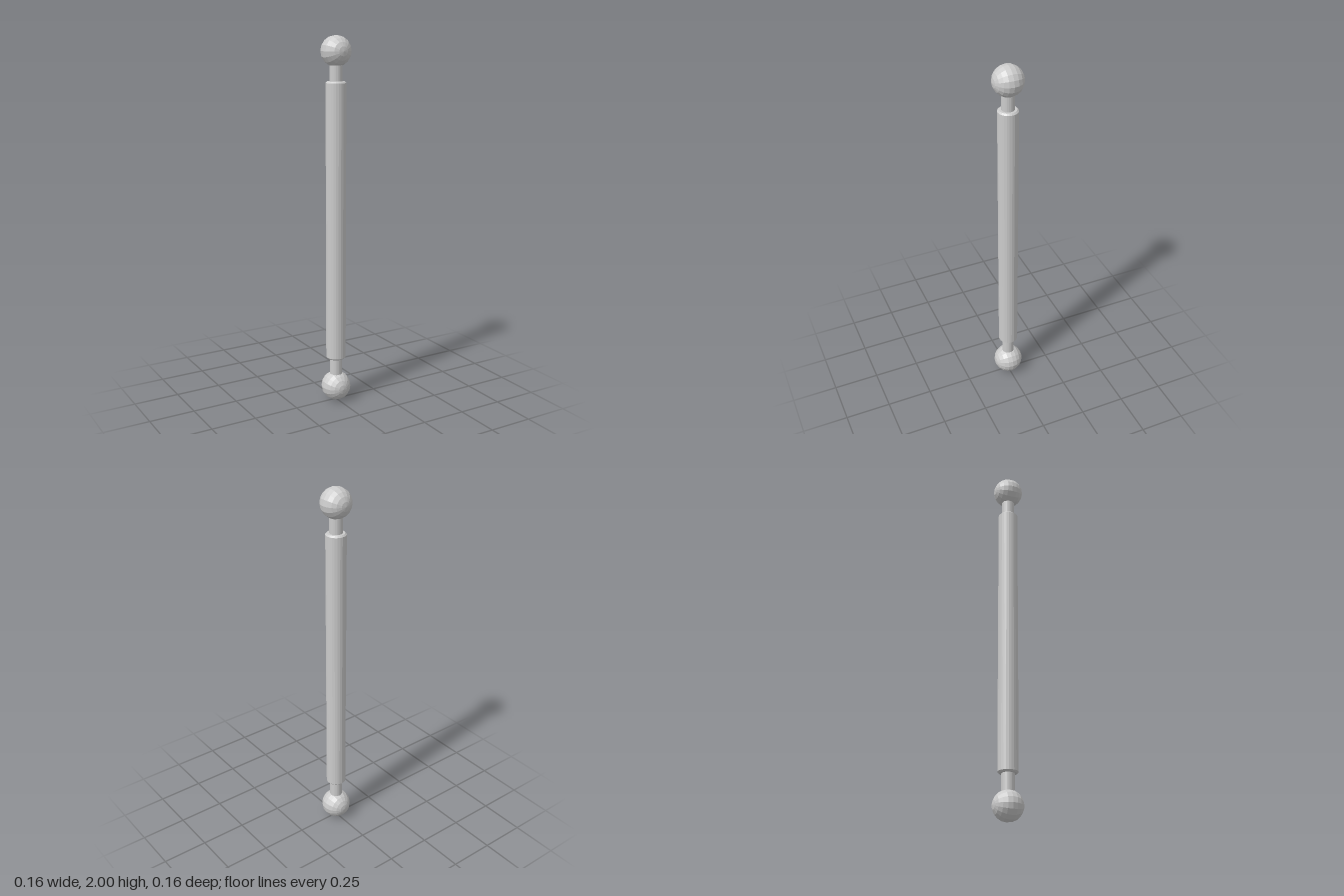
import * as THREE from 'three';

export function createModel() {
  const group = new THREE.Group();
  const material = new THREE.MeshStandardMaterial({ color: 0xcccccc, flatShading: true });

  const add = (name, geometry, y) => {
    const mesh = new THREE.Mesh(geometry, material);
    mesh.name = name;
    mesh.position.y = y;
    group.add(mesh);
  };

  // Thin core running between the two end balls
  add('coreRod', new THREE.CylinderGeometry(0.034, 0.034, 1.84, 24), 1);

  // Thick sleeve with small chamfers at both ends
  const half = 0.76, radius = 0.054, bevel = 0.008;
  const profile = [
    [0, -half], [radius - bevel, -half], [radius, -half + bevel],
    [radius, half - bevel], [radius - bevel, half], [0, half],
  ].map(([x, y]) => new THREE.Vector2(x, y));
  add('sleeve', new THREE.LatheGeometry(profile, 24), 1.005);

  // Faceted end balls, poles facing front and back
  const ball = new THREE.SphereGeometry(0.081, 16, 10).rotateX(Math.PI / 2);
  add('bottomBall', ball, 0.081);
  add('topBall', ball, 1.919);

  return group;
}
